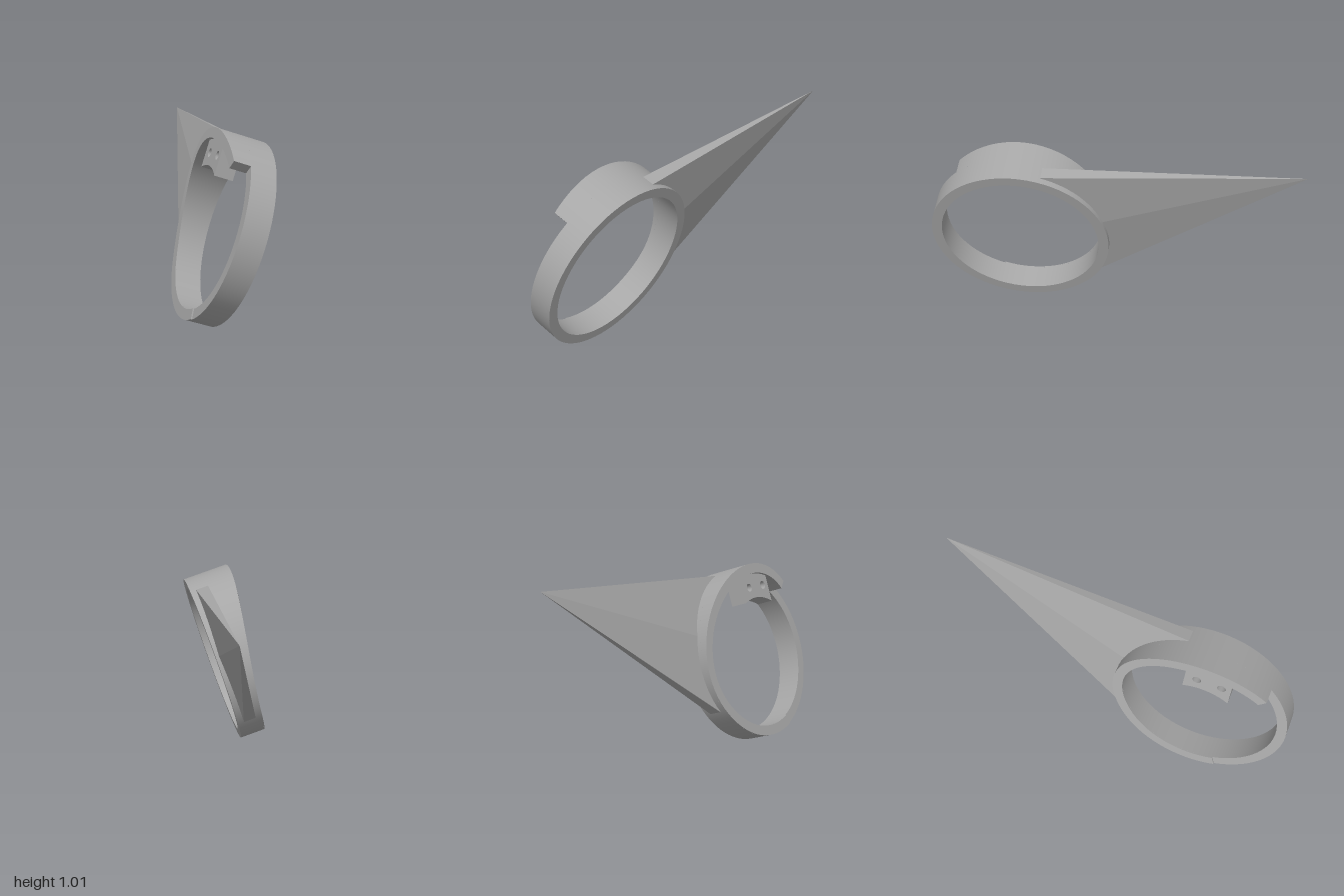
import * as THREE from 'three';

const RO = 0.485, RI = 0.43, BAND = -0.136; // ring radii and axial edge of the plain band
const rad = THREE.MathUtils.degToRad;

// Sweeps a rectangular section (s = axial, r = radial) around the ring axis.
// Angle 0 is the top, rising towards the front.
function sweep(t0, t1, segs, loAt, hi, { hiFace = false, caps = false } = {}) {
  const pos = [], nor = [], idx = [];
  const point = (s, r, t) => [s, r * Math.cos(t), r * Math.sin(t)];
  const corners = t => [[loAt(t), RO], [hi, RO], [hi, RI], [loAt(t), RI]].map(([s, r]) => point(s, r, t));
  const normals = t => [point(0, 1, t), [1, 0, 0], point(0, -1, t), [-1, 0, 0]];
  for (let side = 0; side < 4; side++) {
    if (side === 1 && !hiFace) continue;
    const base = pos.length / 3;
    for (let i = 0; i <= segs; i++) {
      const t = t0 + (t1 - t0) * i / segs, c = corners(t), n = normals(t)[side];
      pos.push(...c[side], ...c[(side + 1) % 4]);
      nor.push(...n, ...n);
      if (i < segs) {
        const a = base + i * 2;
        idx.push(a, a + 2, a + 1, a + 1, a + 2, a + 3);
      }
    }
  }
  if (caps) {
    for (const [t, d] of [[t0, -1], [t1, 1]]) {
      const base = pos.length / 3;
      for (const c of corners(t)) {
        pos.push(...c);
        nor.push(0, -Math.sin(t) * d, Math.cos(t) * d);
      }
      const q = d < 0 ? [0, 1, 2, 0, 2, 3] : [0, 2, 1, 0, 3, 2];
      idx.push(...q.map(k => base + k));
    }
  }
  const g = new THREE.BufferGeometry();
  g.setAttribute('position', new THREE.Float32BufferAttribute(pos, 3));
  g.setAttribute('normal', new THREE.Float32BufferAttribute(nor, 3));
  g.setIndex(idx);
  return g;
}

// Arc-shaped lug with two holes running along the ring axis
function lugGeometry() {
  const x0 = -0.145, x1 = 0.105, n = 10, pts = [];
  const arc = (r, a, b) => {
    for (let i = 0; i <= n; i++) {
      const x = a + (b - a) * i / n;
      pts.push(new THREE.Vector2(x, Math.sqrt(r * r - x * x)));
    }
  };
  arc(0.293, x0, x1);
  arc(0.445, x1, x0);
  const shape = new THREE.Shape(pts);
  for (const x of [-0.094, 0.04]) {
    shape.holes.push(new THREE.Path().absarc(x, 0.354, 0.023, 0, Math.PI * 2, true));
  }
  const g = new THREE.ExtrudeGeometry(shape, { depth: 0.099, bevelEnabled: false, curveSegments: 12 });
  return g.rotateY(Math.PI / 2).translate(-0.238, 0, 0);
}

// Long pointed fin, mirrored about its own middle plane; its base is sunk in the ring
function finGeometry() {
  const mid = -0.069, r = 0.487;
  const at = (deg, half) => [mid + half, r * Math.cos(rad(deg)), -r * Math.sin(rad(deg))];
  const A = [mid, 0.553, -1.51];
  const [T, M, B] = [[17.2, 0.035], [70.5, 0.05], [124, 0.035]].map(([d, h]) => [at(d, h), at(d, -h)]);
  const tris = [
    A, T[0], M[0], A, M[0], B[0],
    A, M[1], T[1], A, B[1], M[1],
    A, T[1], T[0], A, B[0], B[1],
  ];
  const g = new THREE.BufferGeometry();
  g.setAttribute('position', new THREE.Float32BufferAttribute(tris.flat(), 3));
  g.computeVertexNormals();
  return g;
}

export function createModel() {
  const grey = new THREE.MeshStandardMaterial({ color: 0xa6a6a6 });
  grey.name = 'grey';
  const model = new THREE.Group();
  model.name = 'finnedRing';

  // Everything is built around the ring axis, then leaned over
  const tilted = new THREE.Group();
  tilted.name = 'tiltedAssembly';
  tilted.rotation.z = -rad(17.7);
  tilted.position.set(0.0675, 0.4675, 0.515);
  model.add(tilted);

  const add = (name, geometry) => {
    const mesh = new THREE.Mesh(geometry, grey);
    mesh.name = name;
    tilted.add(mesh);
  };

  // Plain band
  add('ringBand', sweep(0, Math.PI * 2, 72, () => BAND, 0, { hiFace: true }));

  // Lip that widens the band from the bottom, round the back, to the top
  const lipEdge = t => {
    const k = Math.max(0, (RO * Math.cos(t) + 0.27) / 0.755);
    return -0.143 - 0.116 * Math.pow(k, 1.8);
  };
  add('ringLip', sweep(rad(-200), rad(43.4), 50, lipEdge, BAND, { caps: true }));

  add('mountingLug', lugGeometry());
  add('fin', finGeometry());
  return model;
}
